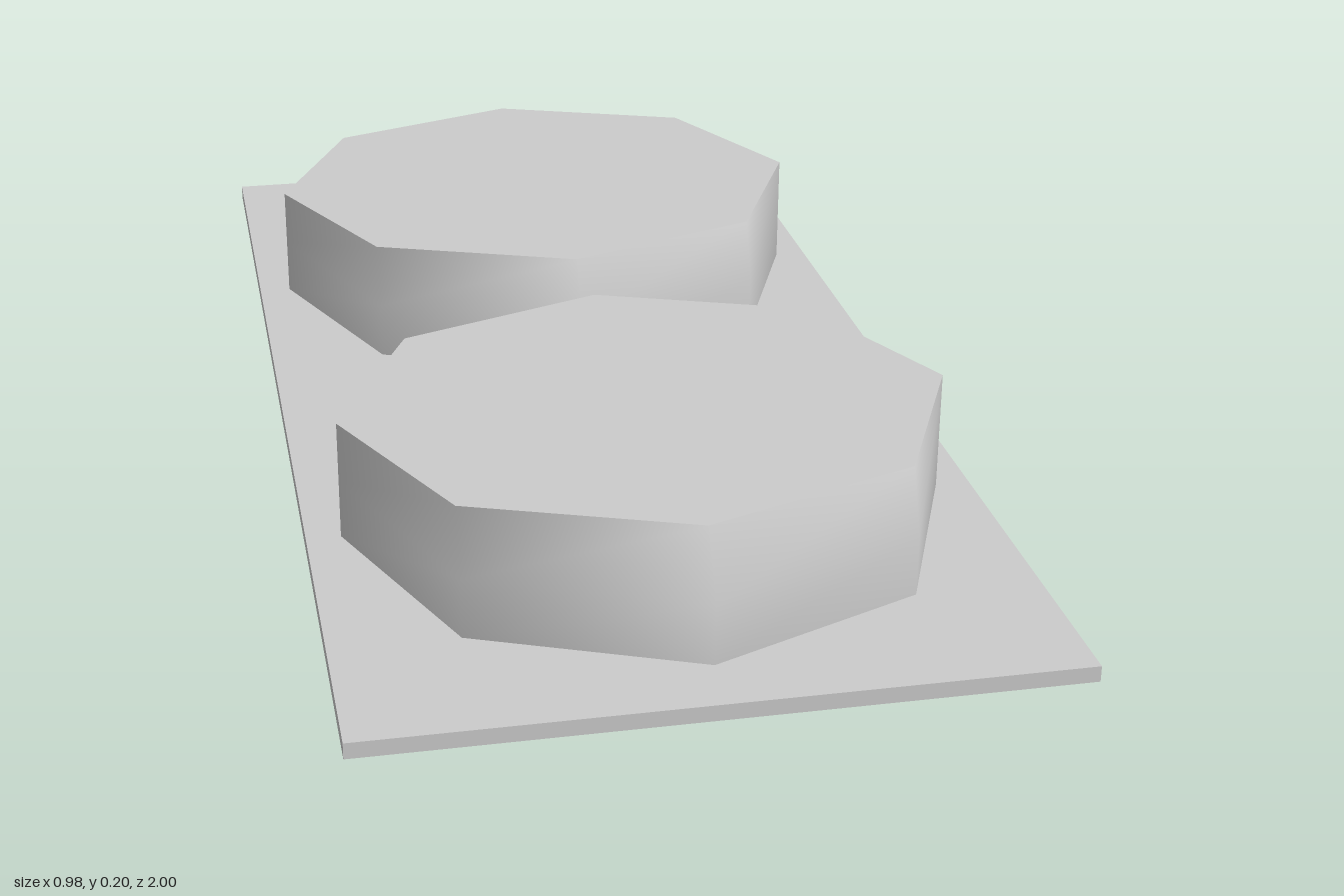
import * as THREE from 'three';
import { mergeVertices } from 'three/addons/utils/BufferGeometryUtils.js';

const RADIUS = 0.44, PLATE_H = 0.023, TOP = 0.2, MID = 0.11, TAPER = 0.885;

// Eight-sided wall whose top ring narrows in z only
function wallGeometry() {
  let geo = new THREE.CylinderGeometry(RADIUS, RADIUS, TOP - PLATE_H, 8, 2, true);
  geo.translate(0, (TOP + PLATE_H) / 2, 0);
  const p = geo.attributes.position;
  for (let i = 0; i < p.count; i++) {
    if (p.getY(i) > TOP - 0.01) p.setZ(i, p.getZ(i) * TAPER);
    else if (p.getY(i) > PLATE_H + 0.01) p.setY(i, MID);
  }
  geo.deleteAttribute('normal');
  geo.deleteAttribute('uv');
  geo = mergeVertices(geo, 1e-4);
  geo.computeVertexNormals();
  return geo;
}

// Flat lid closing the narrowed ring
function lidGeometry() {
  return new THREE.CircleGeometry(RADIUS, 8)
    .rotateX(-Math.PI / 2)
    .scale(1, 1, TAPER)
    .translate(0, TOP, 0);
}

export function createModel() {
  const model = new THREE.Group();
  const grey = new THREE.MeshStandardMaterial({ color: 0xcccccc });
  const add = (parent, geo, name) => {
    const mesh = new THREE.Mesh(geo, grey);
    mesh.name = name;
    parent.add(mesh);
  };

  // Thin base plate
  add(model, new THREE.BoxGeometry(0.98, PLATE_H, 2).translate(0, PLATE_H / 2, 0), 'basePlate');

  // Two octagonal domes, front and back
  const wall = wallGeometry(), lid = lidGeometry();
  for (const [name, z] of [['frontDome', 0.465], ['backDome', -0.465]]) {
    const dome = new THREE.Group();
    dome.name = name;
    dome.position.z = z;
    add(dome, wall, name + 'Wall');
    add(dome, lid, name + 'Lid');
    model.add(dome);
  }
  return model;
}
